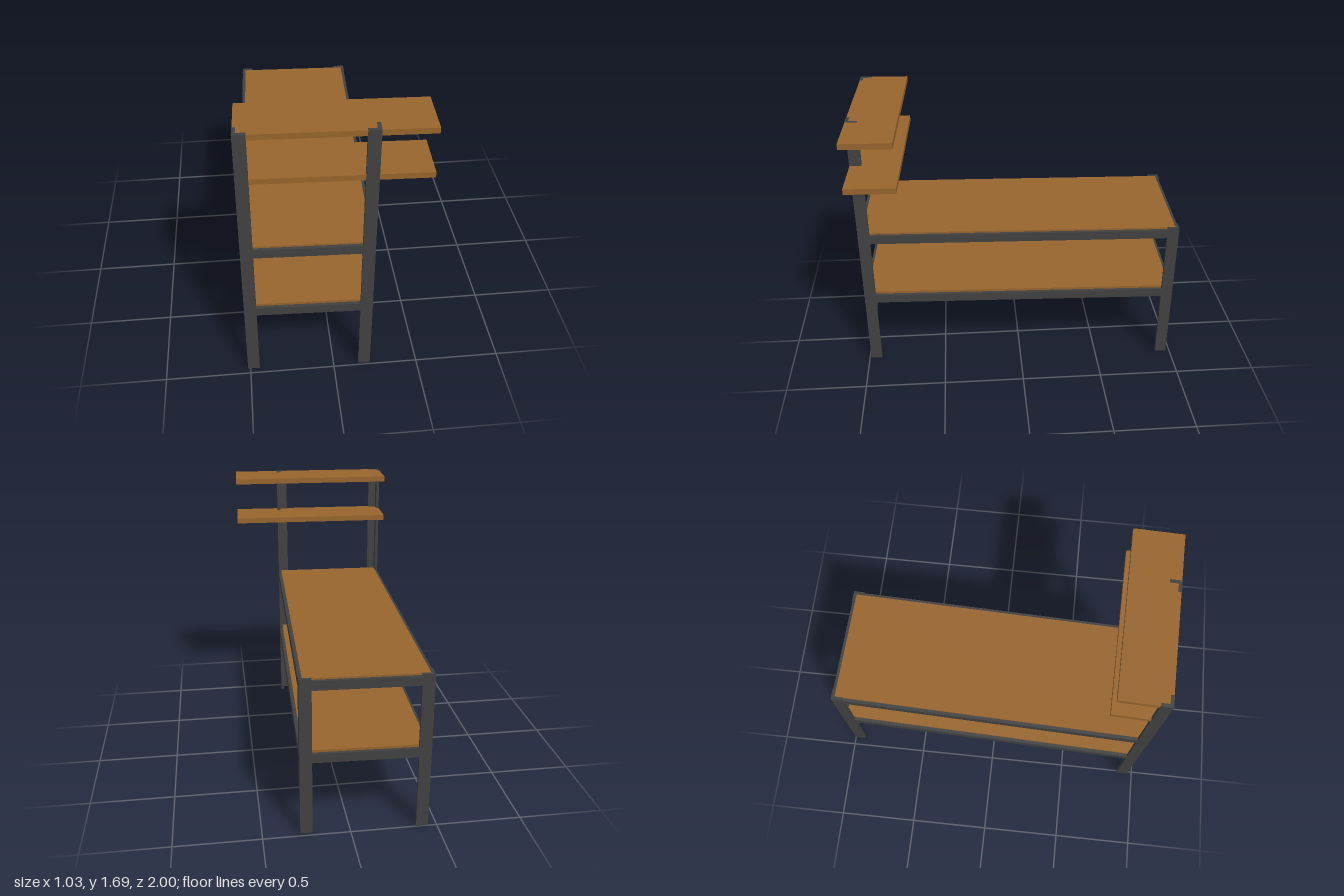
import * as THREE from 'three';

const W = 0.735, L = 1.966; // bench footprint
const T = 0.02, FLANGE = 0.07; // steel thickness, leg flange width

export function createModel() {
  const model = new THREE.Group();
  model.name = 'workbench';
  const steel = new THREE.MeshStandardMaterial({ color: 0x414141 });
  steel.name = 'dark steel';
  const wood = new THREE.MeshStandardMaterial({ color: 0x98652d });
  wood.name = 'brown wood';

  // box given by its minimum and maximum corners
  function box(name, material, [x0, y0, z0], [x1, y1, z1]) {
    const mesh = new THREE.Mesh(new THREE.BoxGeometry(x1 - x0, y1 - y0, z1 - z0), material);
    mesh.position.set((x0 + x1) / 2, (y0 + y1) / 2, (z0 + z1) / 2);
    mesh.name = name;
    model.add(mesh);
  }

  // L-section leg with its outer corner on the footprint corner
  function leg(name, sx, sz, height) {
    const outline = [[0, 0], [FLANGE, 0], [FLANGE, T], [T, T], [T, FLANGE], [0, FLANGE]]
      .map(([a, b]) => new THREE.Vector2(sx * (W / 2 - a), -sz * (L / 2 - b)));
    const geometry = new THREE.ExtrudeGeometry(new THREE.Shape(outline), { depth: height, bevelEnabled: false });
    geometry.rotateX(-Math.PI / 2);
    const mesh = new THREE.Mesh(geometry, steel);
    mesh.name = name;
    model.add(mesh);
  }

  for (const sx of [-1, 1]) {
    const side = sx > 0 ? 'Left' : 'Right';
    leg('front' + side + 'Leg', sx, 1, 1.69);
    leg('back' + side + 'Leg', sx, -1, 0.955);
  }

  // two levels, each a steel frame around a wooden board
  const levels = [['lower', 0.45, 0.505, 0.52], ['upper', 0.887, 0.942, 0.953]];
  for (const [name, y0, y1, top] of levels) {
    for (const s of [-1, 1]) {
      const x = s * (W - T) / 2, z = s * (L - T) / 2;
      box(name + 'SideRail', steel, [x - T / 2, y0, -L / 2 + FLANGE], [x + T / 2, y1, L / 2 - FLANGE]);
      box(name + 'EndRail', steel, [-W / 2 + FLANGE, y0, z - T / 2], [W / 2 - FLANGE, y1, z + T / 2]);
    }
    box(name + 'Board', wood, [-W / 2 + T, top - 0.035, -L / 2 + T], [W / 2 - T, top, L / 2 - T]);
  }

  // two shelves between the tall legs, overhanging on one side
  for (const top of [1.419, 1.689]) {
    box('shelf', wood, [-W / 2 + 0.002, top - 0.034, L / 2 - 0.295], [0.655, top, L / 2 - 0.002]);
  }

  // the whole bench stands slightly turned
  model.rotation.y = -0.0335;
  model.position.set(-0.115, 0, -0.005);
  const root = new THREE.Group();
  root.name = 'workbenchModel';
  root.add(model);
  return root;
}
